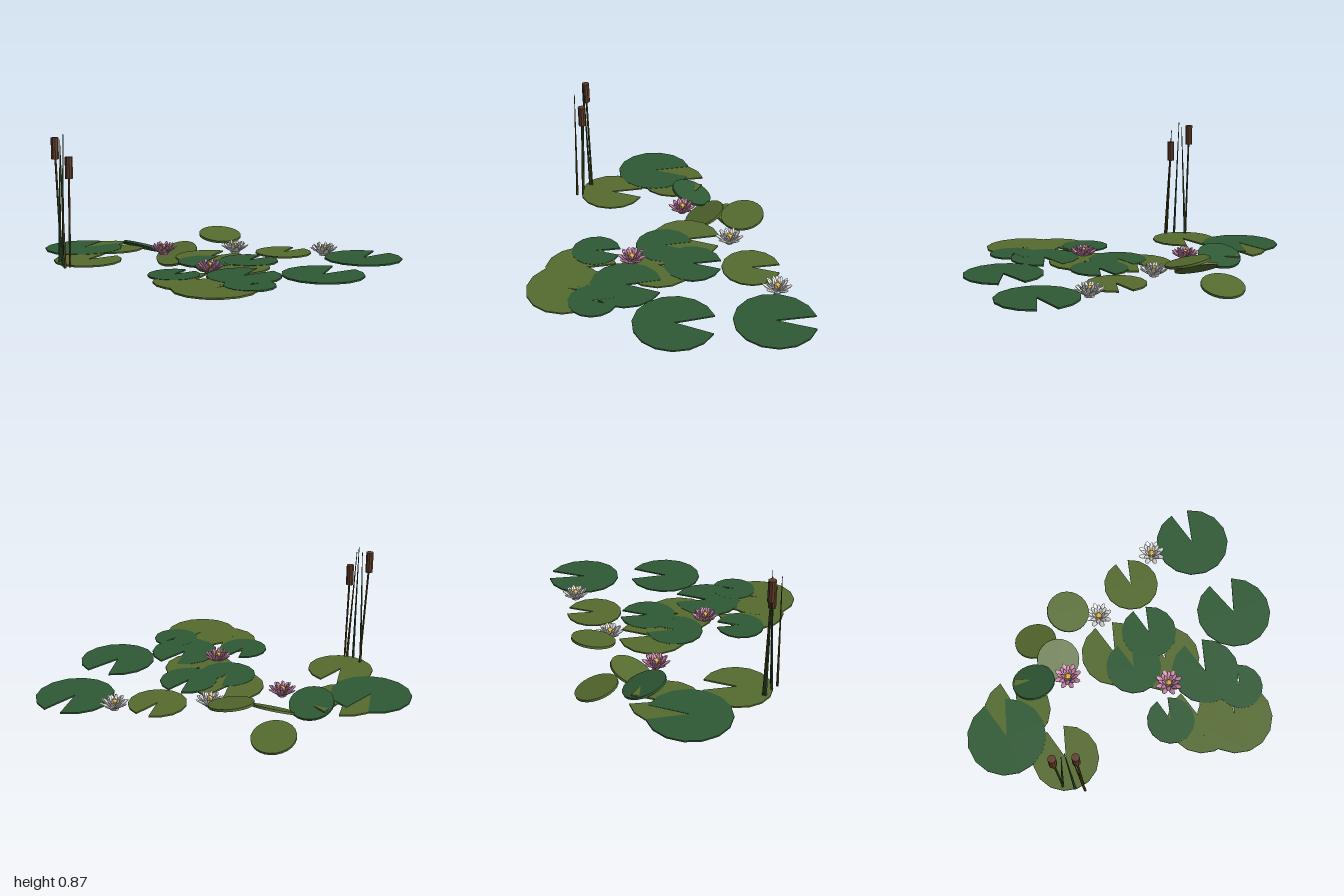
import * as THREE from 'three';

const mat = (name, color) => {
  const m = new THREE.MeshStandardMaterial({ color });
  m.name = name;
  return m;
};

// Faceted copy of a geometry
const facet = (g) => {
  const f = g.index ? g.toNonIndexed() : g;
  f.computeVertexNormals();
  return f;
};

export function createModel() {
  const root = new THREE.Group();
  root.name = 'waterLilyPond';
  const dark = mat('darkLeafGreen', 0x2f5a35);
  const olive = mat('oliveLeafGreen', 0x556b2f);
  const pink = mat('petalPink', 0xd08cb0);
  const white = mat('petalWhite', 0xeeeeea);
  const yellow = mat('stamenYellow', 0xe0b03a);
  const brown = mat('cattailBrown', 0x5f3d28);
  const reed = mat('reedOlive', 0x55481f);

  const add = (parent, name, geo, material) => {
    const m = new THREE.Mesh(geo, material);
    m.name = name;
    parent.add(m);
    return m;
  };

  // Notched lily pads: x, z, radius, half angle of the notch
  const padGeometry = (r, notch) => {
    const s = new THREE.Shape();
    const n = 14;
    s.moveTo(0, 0);
    for (let i = 0; i <= n; i++) {
      const a = notch + (i / n) * (Math.PI * 2 - notch * 2);
      s.lineTo(r * Math.cos(a), r * Math.sin(a));
    }
    s.closePath();
    return new THREE.ExtrudeGeometry(s, { depth: 0.009, bevelEnabled: false }).rotateX(-Math.PI / 2);
  };
  const darkPads = [
    [-0.215, -0.77, 0.23, 0.28], [-0.075, 0.075, 0.165, 0.27], [0.1, 0.24, 0.165, 0.25],
    [-0.25, 0.465, 0.2, 0.28], [-0.46, 0.16, 0.14, 0.24], [-0.41, 0.62, 0.135, 0.27],
    [0.04, 0.77, 0.222, 0.33], [0.565, 0.71, 0.222, 0.24],
  ];
  const olivePads = [
    [-0.085, -0.66, 0.195, 0.22], [-0.455, -0.49, 0.192, 0.27], [0.045, 0, 0.2, 0.27],
    [-0.09, 0.27, 0.205, 0.27], [-0.52, 0.33, 0.2, 0.27], [-0.57, 0.52, 0.22, 0.27],
    [0.43, 0.25, 0.165, 0.24],
  ];
  const addPads = (list, material, y, name) => list.forEach(([x, z, r, notch], i) => {
    // a tiny step per pad keeps overlapping surfaces apart
    add(root, name, padGeometry(r, notch), material).position.set(x, y + i * 0.0002, z);
  });
  addPads(darkPads, dark, 0.144, 'darkLilyPad');
  addPads(olivePads, olive, 0.1422, 'oliveLilyPad');

  // Round tilted leaves: x, y, z, tilt about x, tilt about z
  const discGeometry = new THREE.CylinderGeometry(0.127, 0.127, 0.014, 24);
  [
    [0.045, 0.15, -0.515, 0, -0.36, dark],
    [0.138, 0.113, -0.33, 0, 0.44, olive],
    [0.323, 0.047, -0.415, 0, -0.3, olive],
    [0.37, 0.216, -0.18, 0.17, 0.12, olive],
  ].forEach(([x, y, z, rx, rz, m]) => {
    const d = add(root, 'tiltedLeaf', discGeometry, m);
    d.position.set(x, y, z);
    d.rotation.set(rx, 0, rz);
  });

  // Petal rings: count, inner radius and height, tip radius and height, half width, turn
  const rings = [
    [8, 0.012, 0.14, 0.082, 0.182, 0.018, 0],
    [8, 0.01, 0.142, 0.062, 0.198, 0.014, 0.5],
    [6, 0.012, 0.148, 0.04, 0.207, 0.011, 0.25],
  ];
  const petals = rings.map(([, r0, y0, r1, y1, w]) => {
    const g = new THREE.SphereGeometry(1, 6, 5).rotateZ(-Math.PI / 2);
    g.scale(Math.hypot(r1 - r0, y1 - y0) / 2, 0.006, w);
    g.rotateZ(Math.atan2(y1 - y0, r1 - r0));
    g.translate((r0 + r1) / 2, (y0 + y1) / 2, 0);
    return facet(g);
  });
  const flower = (x, z, material) => {
    const f = new THREE.Group();
    f.name = 'lilyFlower';
    f.position.set(x, 0, z);
    rings.forEach(([count, , , , , , turn], k) => {
      for (let i = 0; i < count; i++) {
        add(f, 'petal', petals[k], material).rotation.y = ((i + turn) / count) * Math.PI * 2;
      }
    });
    add(f, 'flowerBase', facet(new THREE.CylinderGeometry(0.035, 0.025, 0.022, 8)), material).position.y = 0.143;
    const c = add(f, 'flowerCentre', facet(new THREE.SphereGeometry(0.019, 8, 6)), yellow);
    c.position.y = 0.175;
    root.add(f);
  };
  flower(0, -0.315, pink);
  flower(-0.245, 0.23, pink);
  flower(0.3, -0.01, white);
  flower(0.575, 0.44, white);

  // Thin tapered stalk between two points
  const stalk = (name, a, b, r0, r1, material) => {
    const p = new THREE.Vector3(...a), q = new THREE.Vector3(...b);
    const dir = q.clone().sub(p);
    const m = add(root, name, facet(new THREE.CylinderGeometry(r1, r0, dir.length(), 6)), material);
    m.position.copy(p).add(q).multiplyScalar(0.5);
    m.quaternion.setFromUnitVectors(new THREE.Vector3(0, 1, 0), dir.normalize());
  };
  // Cattails
  [
    [[-0.635, 0.14, -0.447], [-0.615, 0.69, -0.463]],
    [[-0.592, 0.14, -0.56], [-0.605, 0.79, -0.583]],
  ].forEach(([a, b]) => {
    stalk('cattailStem', a, b, 0.006, 0.006, reed);
    add(root, 'cattailHead', facet(new THREE.CylinderGeometry(0.022, 0.022, 0.12, 10)), brown).position.set(...b);
  });
  // Reed blades
  stalk('reedBlade', [-0.67, 0.14, -0.45], [-0.657, 0.82, -0.485], 0.008, 0.002, reed);
  stalk('reedBlade', [-0.64, 0.14, -0.5], [-0.605, 0.872, -0.515], 0.008, 0.002, dark);
  stalk('reedBlade', [-0.605, 0.14, -0.562], [-0.61, 0.84, -0.535], 0.008, 0.002, dark);

  return root;
}
